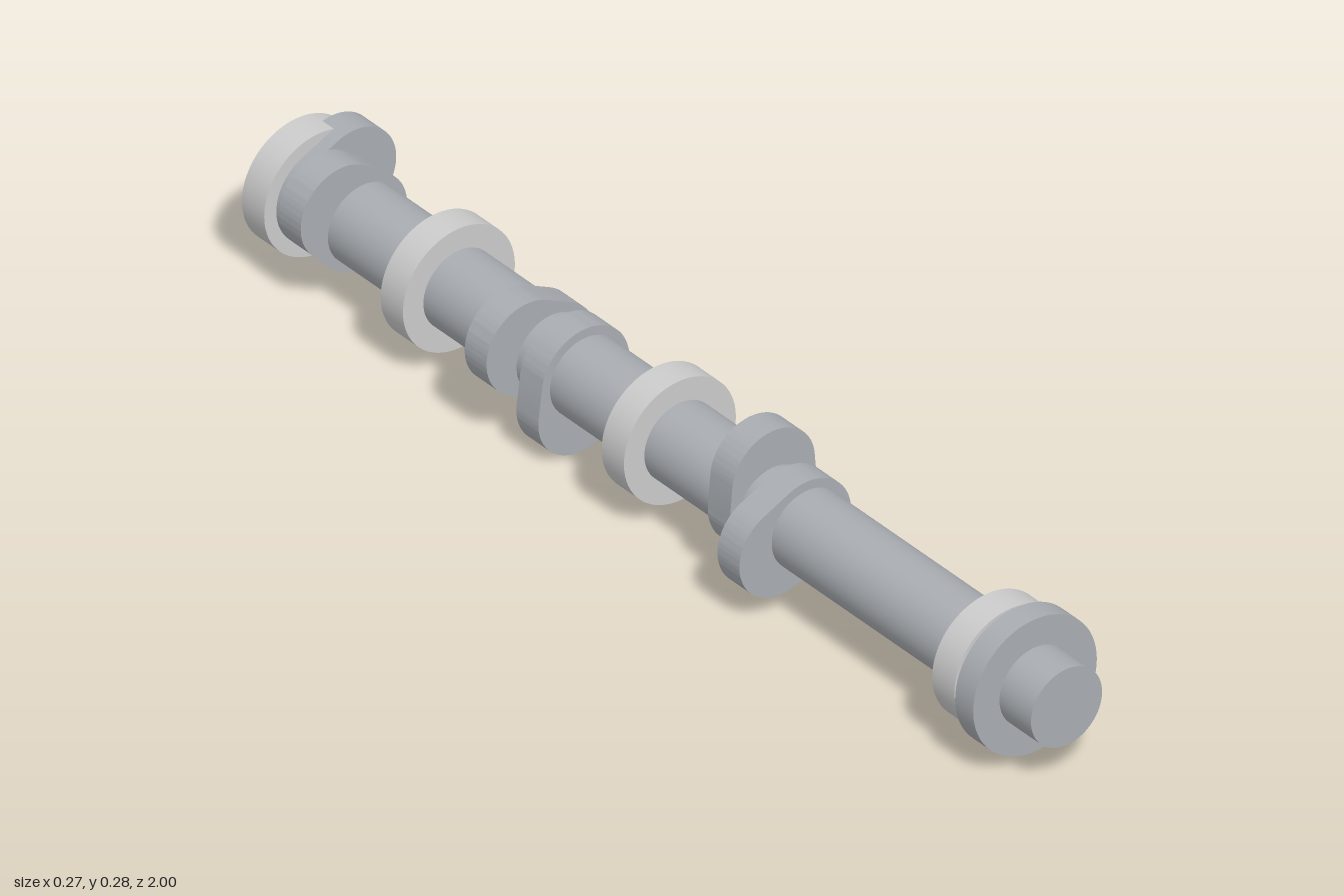
import * as THREE from 'three';
import { toCreasedNormals } from 'three/addons/utils/BufferGeometryUtils.js';

const AXIS_Y = 0.145;
const BASE_R = 0.09, NOSE_R = 0.085, NOSE_OFFSET = 0.058;

export function createModel() {
  const group = new THREE.Group();
  const steel = new THREE.MeshStandardMaterial({ color: 0xa9adb2 });
  const polished = new THREE.MeshStandardMaterial({ color: 0xcccccc });

  const add = (name, geometry, material, z) => {
    const mesh = new THREE.Mesh(geometry, material);
    mesh.name = name;
    mesh.position.set(0, AXIS_Y, z);
    group.add(mesh);
    return mesh;
  };

  // Round section along z, between two z positions
  const addDisc = (name, radius, z0, z1, material) => {
    const geometry = new THREE.CylinderGeometry(radius, radius, z1 - z0, 64);
    geometry.rotateX(Math.PI / 2);
    return add(name, geometry, material, (z0 + z1) / 2);
  };

  // Cam outline: base circle and nose circle joined by tangent lines, nose on +x
  const tangent = Math.acos((BASE_R - NOSE_R) / NOSE_OFFSET);
  const outline = new THREE.Shape();
  outline.absarc(0, 0, BASE_R, tangent, 2 * Math.PI - tangent, false);
  outline.absarc(NOSE_OFFSET, 0, NOSE_R, -tangent, tangent, false);
  outline.closePath();
  const camWidth = 0.057;
  const camGeometry = toCreasedNormals(new THREE.ExtrudeGeometry(outline, {
    depth: camWidth, bevelEnabled: false, curveSegments: 32,
  }), 0.6);
  camGeometry.translate(0, 0, -camWidth / 2);

  // Shaft, with its rear end seated inside the last journal
  addDisc('shaft', 0.073, -0.995, 1, steel);

  // Thrust collar near the front end
  addDisc('thrustCollar', 0.127, 0.871, 0.918, steel);

  // Bearing journals
  [0.825, -0.035, -0.61, -0.971].forEach((z, i) => {
    addDisc(`bearingJournal${i + 1}`, 0.115, z - 0.029, z + 0.029, polished);
  });

  // Cam lobes: z position and nose direction in degrees
  [
    [0.297, 200], [0.209, 90], [-0.28, 258],
    [-0.367, 149], [-0.858, 139], [-0.944, 30],
  ].forEach(([z, angle], i) => {
    const cam = add(`camLobe${i + 1}`, camGeometry, steel, z);
    cam.rotation.z = THREE.MathUtils.degToRad(angle);
  });

  return group;
}
